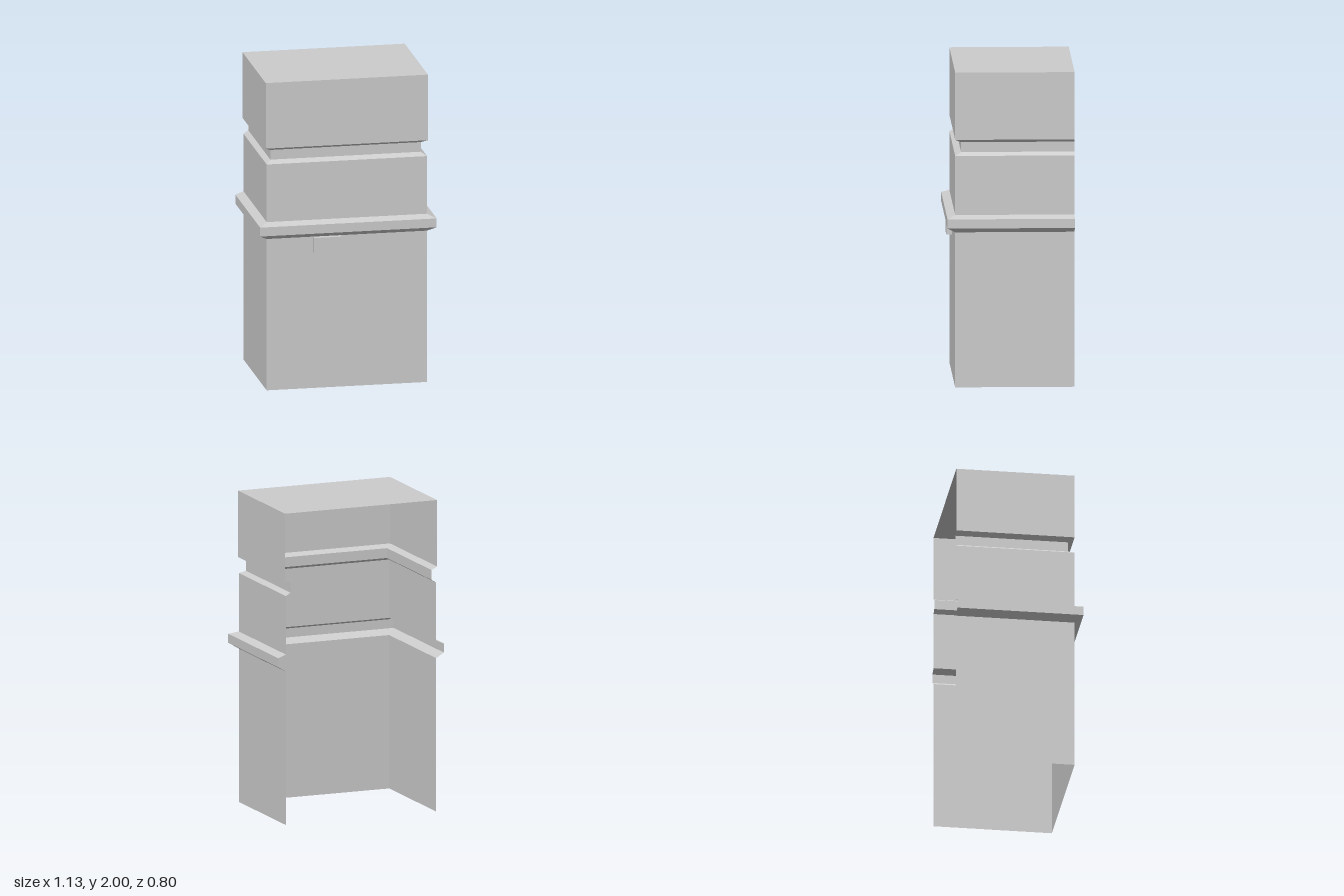
import * as THREE from 'three';

const BACK = -0.4;

// Three-sided wall (left, front, right) skinned through levels of [y, halfWidth, frontZ]
function wall(name, levels, material) {
  const positions = [];
  const corners = ([y, w, z]) => [[-w, y, BACK], [-w, y, z], [w, y, z], [w, y, BACK]];
  for (let i = 0; i < levels.length - 1; i++) {
    const low = corners(levels[i]);
    const high = corners(levels[i + 1]);
    for (let s = 0; s < 3; s++) {
      for (const p of [low[s], low[s + 1], high[s + 1], low[s], high[s + 1], high[s]]) positions.push(...p);
    }
  }
  const geometry = new THREE.BufferGeometry();
  geometry.setAttribute('position', new THREE.Float32BufferAttribute(positions, 3));
  geometry.computeVertexNormals();
  const mesh = new THREE.Mesh(geometry, material);
  mesh.name = name;
  return mesh;
}

export function createModel() {
  const grey = new THREE.MeshStandardMaterial({ color: 0xcccccc, side: THREE.DoubleSide });
  grey.name = 'plain grey';
  const group = new THREE.Group();
  group.name = 'chimneyBreast';

  // Open-backed shell, from the floor up
  group.add(
    wall('lowerWall', [[0, 0.513, 0.35], [0.985, 0.513, 0.35]], grey),
    wall('mantelLedge', [[0.985, 0.513, 0.35], [1.017, 0.565, 0.4], [1.075, 0.565, 0.4], [1.095, 0.513, 0.35]], grey),
    wall('middleWall', [[1.095, 0.513, 0.35], [1.47, 0.513, 0.35]], grey),
    wall('recessedGroove', [[1.47, 0.513, 0.35], [1.49, 0.482, 0.312], [1.553, 0.482, 0.312], [1.573, 0.519, 0.35]], grey),
    wall('upperWall', [[1.573, 0.519, 0.35], [2, 0.519, 0.35]], grey),
  );

  // Flat lid
  const lid = new THREE.Mesh(new THREE.PlaneGeometry(1.038, 0.75).rotateX(-Math.PI / 2), grey);
  lid.name = 'topLid';
  lid.position.set(0, 2, -0.025);
  group.add(lid);

  // Small block under the ledge
  const block = new THREE.Mesh(new THREE.BoxGeometry(0.175, 0.1, 0.036), grey);
  block.name = 'frontBlock';
  block.position.set(-0.129, 0.935, 0.368);
  group.add(block);

  return group;
}
